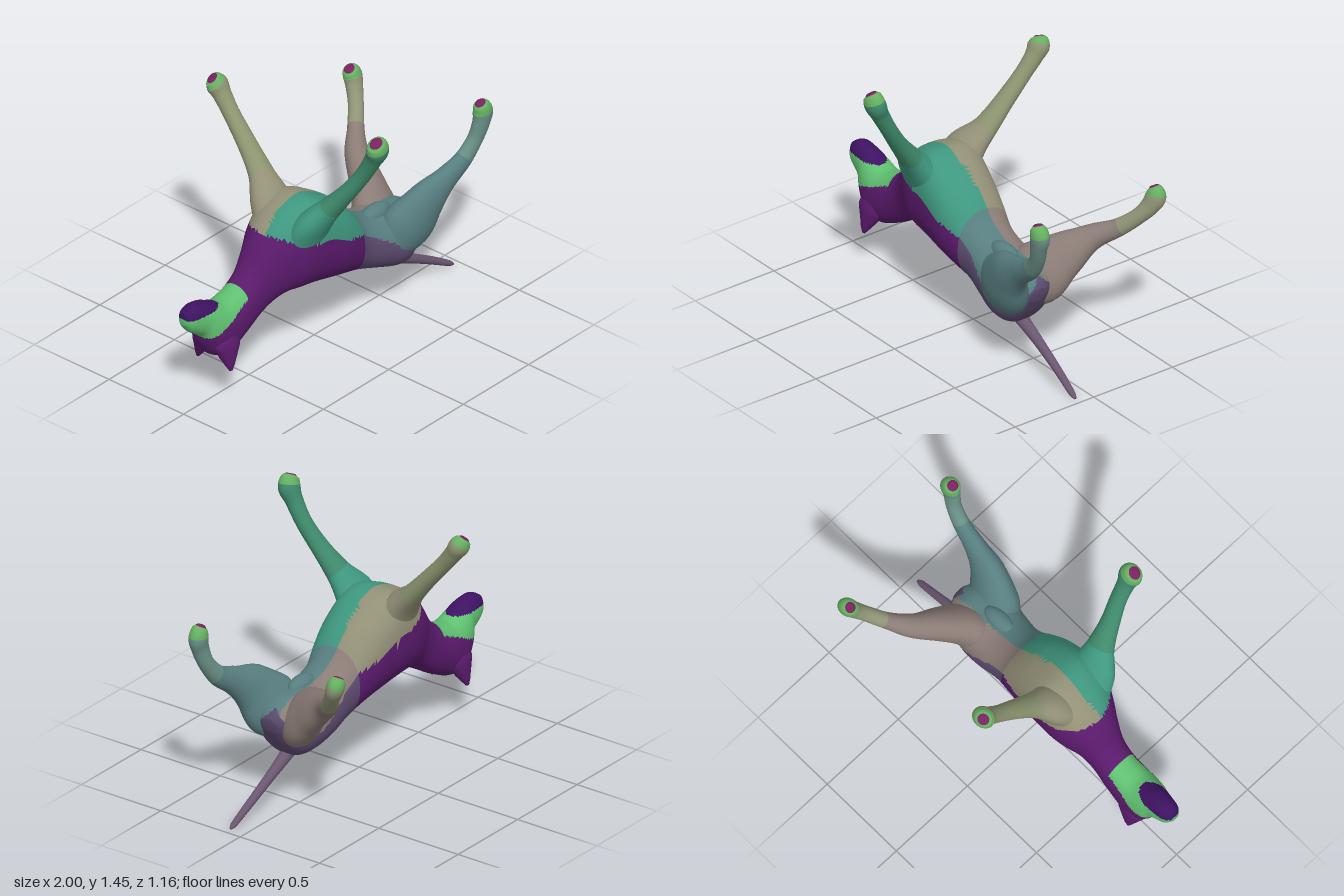
import * as THREE from 'three';

const SIDES = 28;
const V = (x, y, z) => new THREE.Vector3(x, y, z);
const COLORS = {
  muzzle: 0x3e1262, face: 0x5fc070, coat: 0x5a1a6c, hind: 0x5c4b70, thighL: 0x587e80, thighR: 0x8b7c76,
  bellyL: 0x3f977f, bellyR: 0x929076, foreL: 0x3f8a6c, foreR: 0x8c9470, shinL: 0x688e84, shinR: 0x8f9476,
  paw: 0x66b062, pad: 0x7a2260, tail: 0x6a5670,
};

// Skins a list of rings, then splits the faces into one mesh per colour region.
function loft(name, rings, region) {
  const n = rings[0].length;
  const pts = rings.flat();
  const faces = [];
  for (let i = 0; i < rings.length - 1; i++) {
    for (let j = 0; j < n; j++) {
      const a = i * n + j, b = i * n + (j + 1) % n;
      faces.push([a, b, a + n, i], [b, b + n, a + n, i]);
    }
  }
  // end caps
  const last = rings.length - 1;
  for (const i of [0, last]) {
    const c = pts.length;
    pts.push(rings[i].reduce((s, p) => s.add(p), V(0, 0, 0)).divideScalar(n));
    for (let j = 0; j < n; j++) {
      const a = i * n + j, b = i * n + (j + 1) % n;
      faces.push(i ? [a, b, c, i] : [b, a, c, i]);
    }
  }
  const whole = new THREE.BufferGeometry().setFromPoints(pts);
  whole.setIndex(faces.flatMap(f => f.slice(0, 3)));
  whole.computeVertexNormals();

  const parts = {};
  for (const f of faces) {
    const mid = V(0, 0, 0).add(pts[f[0]]).add(pts[f[1]]).add(pts[f[2]]).divideScalar(3);
    (parts[region(mid, f[3] / last)] ??= []).push(f[0], f[1], f[2]);
  }
  const group = new THREE.Group();
  group.name = name;
  for (const [key, index] of Object.entries(parts)) {
    const g = new THREE.BufferGeometry();
    g.setAttribute('position', whole.attributes.position);
    g.setAttribute('normal', whole.attributes.normal);
    g.setIndex(index);
    const mesh = new THREE.Mesh(g, new THREE.MeshStandardMaterial({ color: COLORS[key] }));
    mesh.name = `${name} ${key}`;
    group.add(mesh);
  }
  return group;
}

// Tapered limb: rows of [x, y, z, radius across, radius deep]; "across" follows ref.
function limb(name, rows, ref, region, steps = 48) {
  const path = new THREE.CatmullRomCurve3(rows.map(r => V(r[0], r[1], r[2])));
  const size = new THREE.CatmullRomCurve3(rows.map(r => V(r[3], r[4], 0)), false, 'catmullrom', 0.4);
  const rings = [];
  for (let i = 0; i <= steps; i++) {
    const c = path.getPoint(i / steps), t = path.getTangent(i / steps), s = size.getPoint(i / steps);
    const u = ref.clone().addScaledVector(t, -ref.dot(t)).normalize();
    const v = t.clone().cross(u);
    rings.push(Array.from({ length: SIDES }, (_, j) => {
      const a = j / SIDES * Math.PI * 2;
      return c.clone().addScaledVector(u, Math.cos(a) * s.x).addScaledVector(v, Math.sin(a) * s.y);
    }));
  }
  return loft(name, rings, region);
}

// Head, neck and trunk: rows of [top x, top y, bottom x, bottom y, min z, max z].
function makeBody() {
  const rows = [
    [-0.99, 0.59, -0.997, 0.53, -0.035, 0.02], [-0.96, 0.61, -0.97, 0.485, -0.06, 0.045],
    [-0.92, 0.62, -0.93, 0.45, -0.07, 0.055], [-0.85, 0.605, -0.885, 0.42, -0.08, 0.07],
    [-0.79, 0.575, -0.86, 0.35, -0.1, 0.09], [-0.72, 0.55, -0.81, 0.275, -0.112, 0.105],
    [-0.66, 0.56, -0.71, 0.25, -0.112, 0.105], [-0.6, 0.585, -0.58, 0.305, -0.105, 0.1],
    [-0.53, 0.65, -0.48, 0.365, -0.1, 0.105], [-0.46, 0.76, -0.4, 0.41, -0.115, 0.135],
    [-0.38, 0.85, -0.33, 0.435, -0.15, 0.18], [-0.28, 0.915, -0.26, 0.435, -0.17, 0.22],
    [-0.15, 0.94, -0.15, 0.42, -0.17, 0.235], [0, 0.865, 0, 0.39, -0.15, 0.24],
    [0.1, 0.78, 0.1, 0.365, -0.13, 0.225], [0.2, 0.67, 0.2, 0.335, -0.11, 0.205],
    [0.32, 0.61, 0.32, 0.295, -0.115, 0.225], [0.45, 0.6, 0.43, 0.262, -0.11, 0.25],
    [0.56, 0.585, 0.51, 0.258, -0.08, 0.23], [0.63, 0.54, 0.58, 0.33, -0.03, 0.18],
    [0.655, 0.5, 0.64, 0.43, 0.03, 0.13],
  ];
  const curve = f => new THREE.CatmullRomCurve3(rows.map(f), false, 'catmullrom', 0.5);
  const top = curve(r => V(r[0], r[1], 0)), low = curve(r => V(r[2], r[3], 0)), wide = curve(r => V(r[4], r[5], 0));
  const rings = [], steps = 120, n = 64;
  for (let i = 0; i <= steps; i++) {
    const a = top.getPoint(i / steps), b = low.getPoint(i / steps), w = wide.getPoint(i / steps);
    // the chest is squarer on its upturned side
    const square = 0.24 * Math.exp(-(((a.x + 0.16) / 0.17) ** 2));
    rings.push(Array.from({ length: n }, (_, j) => {
      const c = Math.cos(j / n * Math.PI * 2), s = Math.sin(j / n * Math.PI * 2);
      const p = b.clone().lerp(a, 0.5 + 0.5 * Math.sign(c) * Math.abs(c) ** (0.92 - (c > 0 ? square : 0)));
      p.z = (w.x + w.y) / 2 + (w.y - w.x) / 2 * Math.sign(s) * Math.abs(s) ** (0.88 - (c > 0 ? square : 0));
      return p;
    }));
  }
  return loft('body', rings, ({ x, y, z }) => {
    const side = z > 0.03 ? 'L' : 'R';
    if (x < -0.7 && y > 0.56) return 'muzzle';
    if (x < -0.6 && y > 0.4 + (x + 0.9) * 0.43) return 'face';
    if (x < 0.15) return x > -0.42 && y > 0.665 - 0.35 * x ? 'belly' + side : 'coat';
    const rump = x > 0.48 ? 0.56 - Math.abs(z - 0.06) : 0;
    return y > Math.max(0.62 - 0.65 * (x - 0.13), rump, 0.36) ? 'thigh' + side : 'hind';
  });
}

export function createModel() {
  const model = new THREE.Group();
  model.name = 'upturned dog';
  model.add(makeBody());

  // front legs
  const X = V(1, 0, 0);
  const bands = (upper, lower, split) => (p, t) =>
    t < split ? upper : t < 0.78 ? lower : t < 0.95 ? 'paw' : 'pad';
  model.add(limb('left front leg', [
    [-0.22, 0.7, 0.1, 0.14, 0.1], [-0.21, 0.84, 0.18, 0.13, 0.08], [-0.178, 0.96, 0.27, 0.074, 0.058],
    [-0.15, 1.08, 0.362, 0.052, 0.045], [-0.125, 1.2, 0.44, 0.045, 0.042], [-0.12, 1.31, 0.5, 0.048, 0.046],
    [-0.12, 1.375, 0.53, 0.064, 0.054], [-0.135, 1.42, 0.537, 0.054, 0.045], [-0.145, 1.438, 0.54, 0.026, 0.024],
  ], X, bands('bellyL', 'foreL', 0.25)));
  model.add(limb('right front leg', [
    [-0.22, 0.72, -0.04, 0.14, 0.1], [-0.21, 0.85, -0.1, 0.125, 0.085], [-0.172, 0.97, -0.21, 0.072, 0.055],
    [-0.155, 1.1, -0.325, 0.053, 0.045], [-0.145, 1.22, -0.432, 0.045, 0.043], [-0.14, 1.3, -0.495, 0.05, 0.047],
    [-0.143, 1.345, -0.525, 0.062, 0.053], [-0.155, 1.375, -0.54, 0.048, 0.042], [-0.163, 1.388, -0.545, 0.024, 0.022],
  ], X, bands('bellyR', 'foreR', 0.25)));

  // hind legs
  const D = V(1, -1, 0);
  model.add(limb('left hind leg', [
    [0.4, 0.4, 0.13, 0.11, 0.1], [0.5, 0.5, 0.18, 0.168, 0.105], [0.6, 0.62, 0.228, 0.125, 0.078],
    [0.72, 0.7, 0.252, 0.075, 0.052], [0.83, 0.765, 0.268, 0.054, 0.042], [0.905, 0.86, 0.285, 0.044, 0.039],
    [0.935, 0.95, 0.3, 0.05, 0.041], [0.947, 1.01, 0.302, 0.057, 0.047], [0.935, 1.055, 0.302, 0.044, 0.042],
    [0.925, 1.078, 0.3, 0.02, 0.02],
  ], D, bands('thighL', 'shinL', 0.45)));
  model.add(limb('right hind leg', [
    [0.4, 0.4, 0.03, 0.11, 0.1], [0.5, 0.49, -0.03, 0.165, 0.105], [0.565, 0.585, -0.14, 0.122, 0.085],
    [0.635, 0.675, -0.27, 0.068, 0.062], [0.73, 0.74, -0.36, 0.048, 0.043], [0.81, 0.82, -0.43, 0.042, 0.04],
    [0.85, 0.885, -0.475, 0.05, 0.043], [0.863, 0.935, -0.498, 0.058, 0.047], [0.85, 0.97, -0.503, 0.044, 0.04],
    [0.84, 0.987, -0.503, 0.02, 0.02],
  ], D, bands('thighR', 'shinR', 0.45)));

  // tail
  model.add(limb('tail', [
    [0.42, 0.31, 0.08, 0.05, 0.05], [0.52, 0.25, 0.075, 0.034, 0.034], [0.66, 0.177, 0.075, 0.026, 0.026],
    [0.82, 0.09, 0.08, 0.021, 0.021], [0.935, 0.023, 0.087, 0.015, 0.017], [0.962, 0.008, 0.088, 0.006, 0.008],
  ], V(0, 1, 0), () => 'tail'));

  // ears
  for (const [side, k] of [['left', 1], ['right', -1]])
    model.add(limb(`${side} ear`, [
      [-0.75, 0.42, 0.05 * k, 0.05, 0.04], [-0.75, 0.34, 0.07 * k, 0.085, 0.05],
      [-0.755, 0.28, 0.085 * k, 0.058, 0.04], [-0.76, 0.235, 0.1 * k, 0.032, 0.025],
      [-0.764, 0.198, 0.111 * k, 0.01, 0.008],
    ], X, () => 'coat', 18));

  // underside bump between the thighs
  const bump = new THREE.Mesh(new THREE.SphereGeometry(1, 20, 14), new THREE.MeshStandardMaterial({ color: COLORS.thighL }));
  bump.name = 'belly bump';
  bump.position.set(0.37, 0.59, 0.085);
  bump.scale.set(0.1, 0.05, 0.05);
  model.add(bump);
  return model;
}
